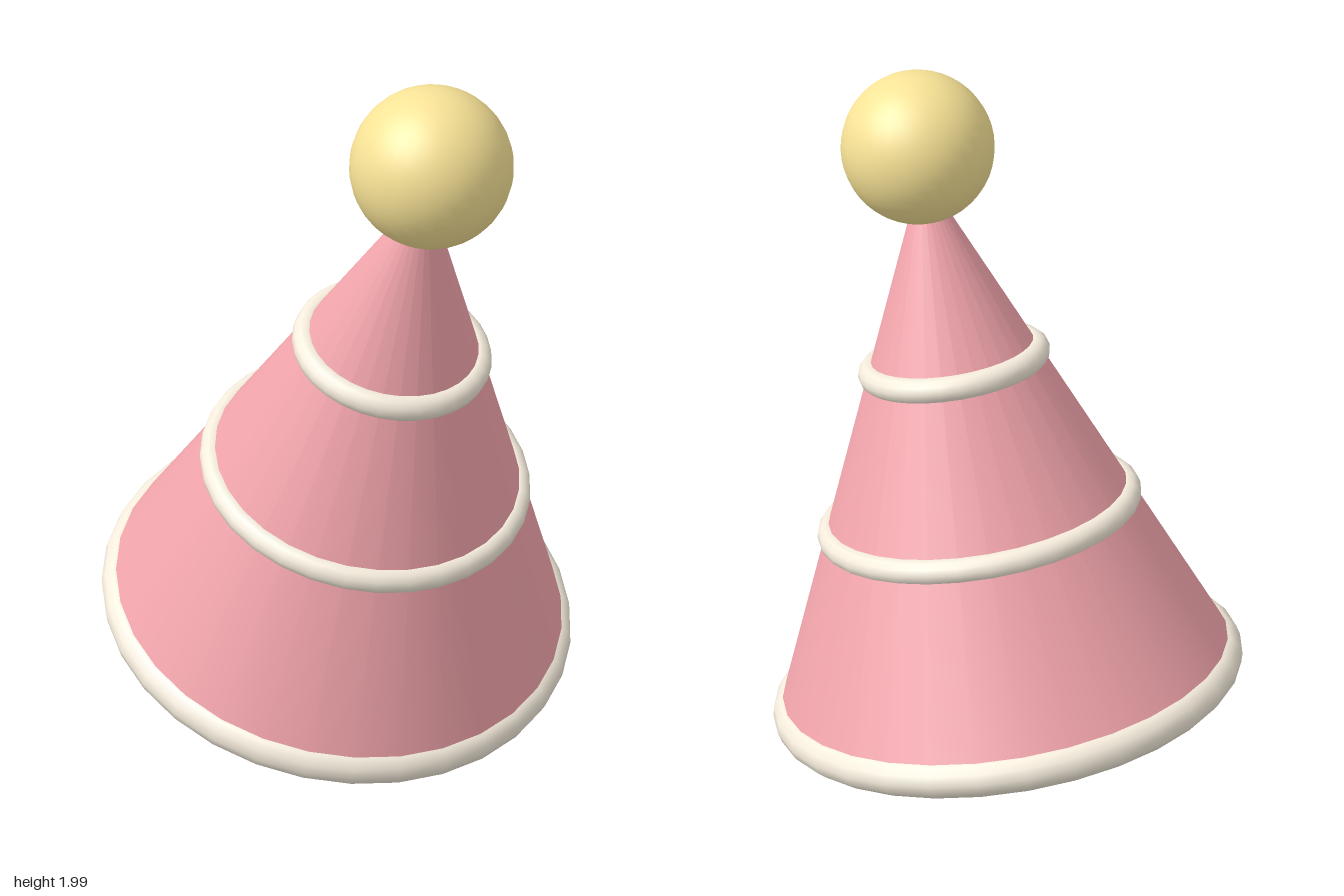
import * as THREE from 'three';

const HEIGHT = 1.555, RADIUS = 0.685;

export function createModel() {
  const hat = new THREE.Group();
  hat.name = 'partyHat';
  const pink = new THREE.MeshStandardMaterial({ color: 0xf2a5ac });
  const cream = new THREE.MeshStandardMaterial({ color: 0xf5ecdc });
  const yellow = new THREE.MeshStandardMaterial({ color: 0xf8e396 });

  function add(name, geometry, material, y) {
    const mesh = new THREE.Mesh(geometry, material);
    mesh.name = name;
    mesh.position.y = y;
    hat.add(mesh);
  }

  // Cone closed by a flat base, its edge sunk into the brim
  add('cone', new THREE.ConeGeometry(RADIUS, HEIGHT, 32), pink, HEIGHT / 2);

  // Padded brim and two bands, partly sunk into the cone
  const rings = [
    ['brim', 0, 0.645, 0.055],
    ['lowerBand', 0.53, 0.437, 0.037],
    ['upperBand', 0.99, 0.239, 0.037],
  ];
  for (const [name, y, radius, tube] of rings) {
    const ring = new THREE.TorusGeometry(radius, tube, 12, 32);
    add(name, ring.rotateX(Math.PI / 2), cream, y);
  }

  // Ball on the tip
  add('pompom', new THREE.SphereGeometry(0.213, 32, 24), yellow, 1.62);

  // Jaunty tilt towards +x
  hat.rotation.z = -0.244;
  hat.position.set(-0.003, 0.213, 0);

  const model = new THREE.Group();
  model.name = 'tiltedPartyHat';
  model.add(hat);
  return model;
}
